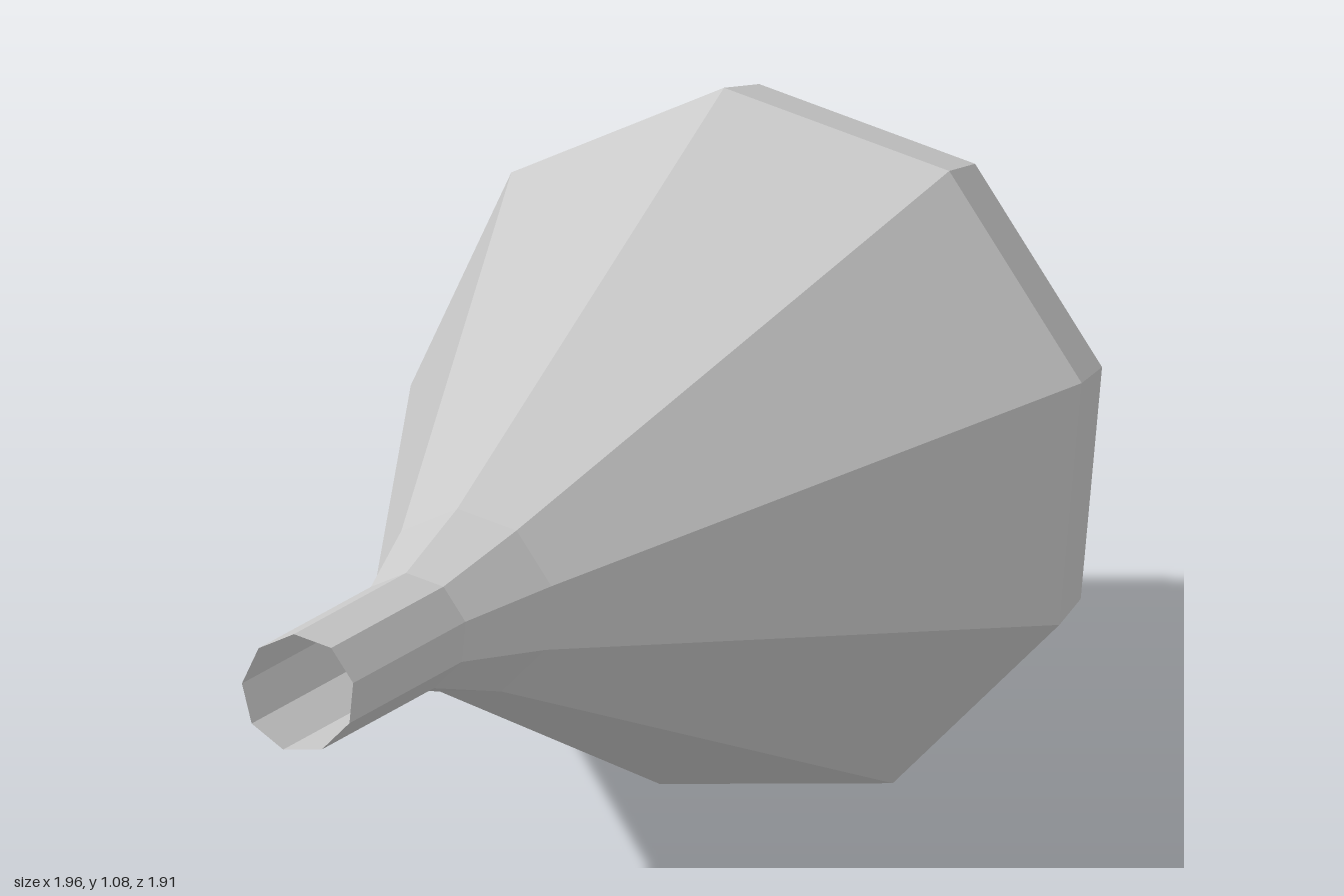
import * as THREE from 'three';

const SIDES = 9;
const START = THREE.MathUtils.degToRad(-8.5);

// profiles as [radius, distance along the axis], measured from the widest ring
const neckProfile = [[0.092, -1.927], [0.092, -1.449]];
const bodyProfile = [[0.092, -1.449], [0.146, -1.22], [0.555, 0]];
const endProfile = [[0.555, 0], [0.532, 0.145], [0.462, 0.29], [0.34, 0.412], [0.175, 0.497], [0, 0.53]];

export function createModel() {
  const group = new THREE.Group();
  group.name = 'taperedBulb';

  const material = new THREE.MeshStandardMaterial({
    color: 0xcccccc, flatShading: true, side: THREE.DoubleSide,
  });

  function addPart(name, profile) {
    const points = profile.map(([r, t]) => new THREE.Vector2(r, t));
    const mesh = new THREE.Mesh(new THREE.LatheGeometry(points, SIDES, START), material);
    mesh.name = name;
    group.add(mesh);
  }

  addPart('openNeck', neckProfile);
  addPart('taperedBody', bodyProfile);
  addPart('roundedEnd', endProfile);

  // lay the turned axis diagonally, neck forward and slightly raised
  const axis = new THREE.Vector3(0.711, -0.179, -0.68).normalize();
  const up = new THREE.Vector3(0, 1, 0).addScaledVector(axis, -axis.y).normalize();
  const side = new THREE.Vector3().crossVectors(axis, up);
  group.quaternion.setFromRotationMatrix(new THREE.Matrix4().makeBasis(side, axis, up));
  group.position.set(0.435, 0.548, -0.42);

  const model = new THREE.Group();
  model.name = 'model';
  model.add(group);
  return model;
}
